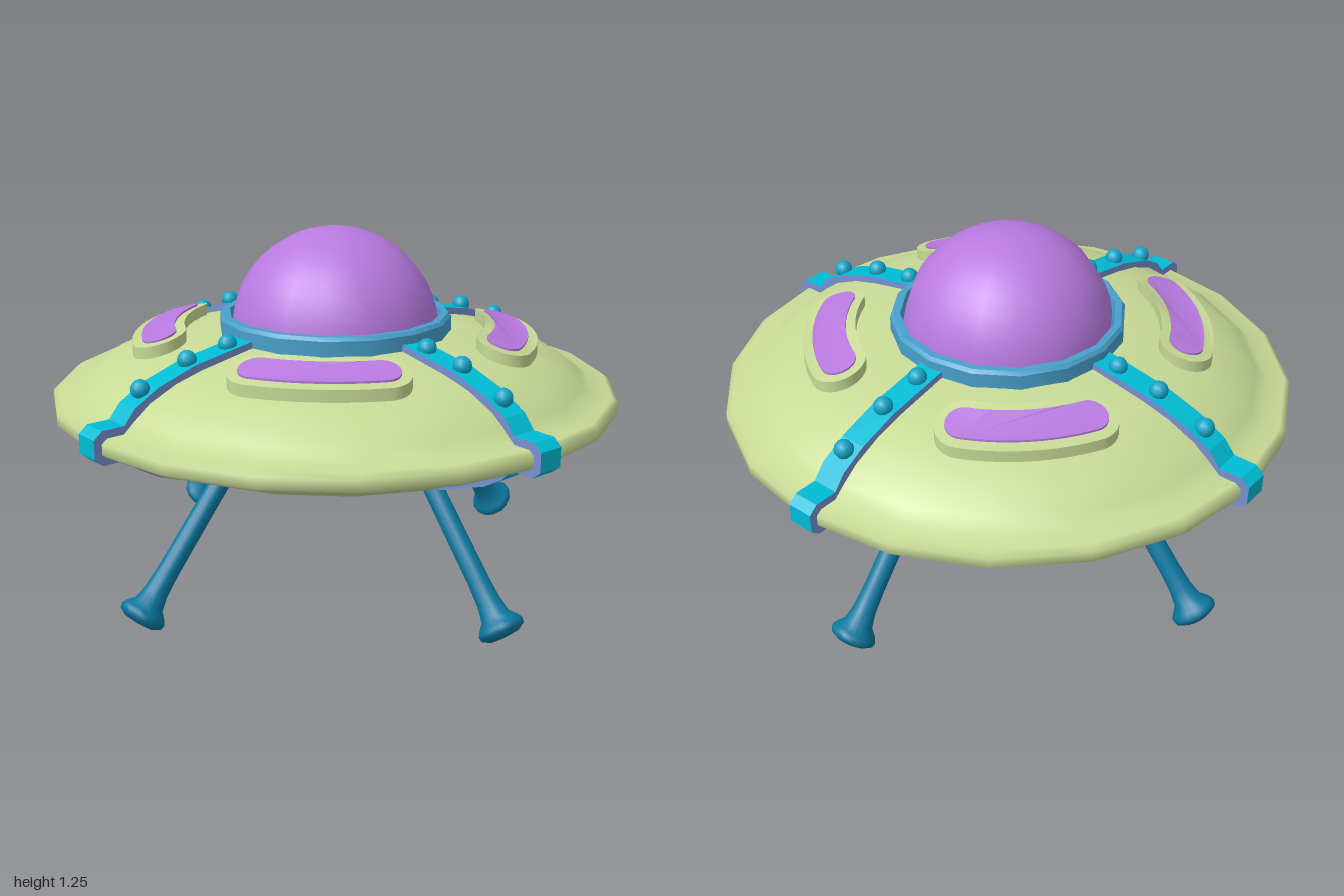
import * as THREE from 'three';
import { toCreasedNormals } from 'three/addons/utils/BufferGeometryUtils.js';

const paint = (name, color) => {
  const m = new THREE.MeshStandardMaterial({ color });
  m.name = name;
  return m;
};
const V = ([x, y]) => new THREE.Vector2(x, y);
const lathe = (pts, sides) => new THREE.LatheGeometry(pts.map(V), sides);

// Curved slot with round ends, lying flat and tilted to follow the hull
function slot(halfWidth, bottom, top) {
  const R = 0.61, a0 = Math.PI / 4 - 0.33, a1 = Math.PI / 4 + 0.33;
  const s = new THREE.Shape();
  s.absarc(0, 0, R + halfWidth, a0, a1, false);
  s.absarc(R * Math.cos(a1), R * Math.sin(a1), halfWidth, a1, a1 + Math.PI, false);
  s.absarc(0, 0, R - halfWidth, a1, a0, true);
  s.absarc(R * Math.cos(a0), R * Math.sin(a0), halfWidth, a0 + Math.PI, a0 + 2 * Math.PI, false);
  const geo = new THREE.ExtrudeGeometry(s, { depth: top - bottom, bevelEnabled: false, curveSegments: 10 });
  geo.rotateX(-Math.PI / 2);
  const p = geo.attributes.position;
  for (let i = 0; i < p.count; i++) {
    const r = Math.hypot(p.getX(i), p.getZ(i));
    p.setY(i, p.getY(i) + bottom - 0.28 * (r - R));
  }
  return toCreasedNormals(geo, 0.6);
}

export function createModel() {
  const green = paint('hull green', 0xc8da96);
  const purple = paint('glass purple', 0xb87ae0);
  const cyan = paint('band cyan', 0x00bcd6);
  const periwinkle = paint('band side blue', 0x7890d0);
  const blue = paint('collar blue', 0x48a0cc);
  const bolt = paint('bolt blue', 0x12a6c8);
  const teal = paint('leg teal', 0x0a78a0);

  const model = new THREE.Group();
  model.name = 'flyingSaucer';
  const add = (name, geo, mat, parent = model) => {
    const mesh = new THREE.Mesh(geo, mat);
    mesh.name = name;
    parent.add(mesh);
    return mesh;
  };

  // Saucer body with a thick rim
  add('hull', lathe([
    [0, 0.425], [0.2, 0.432], [0.4, 0.455], [0.6, 0.505], [0.77, 0.565], [0.86, 0.625],
    [0.9, 0.645], [0.96, 0.645], [0.98, 0.66], [0.98, 0.695], [0.96, 0.71], [0.9, 0.71],
    [0.86, 0.745], [0.8, 0.79], [0.7, 0.835], [0.6, 0.862], [0.4, 0.9], [0, 0.91],
  ], 20), green);

  // Dome and its collar
  const dome = add('dome', new THREE.SphereGeometry(0.36, 16, 12, 0, Math.PI * 2, 0, Math.PI / 2), purple);
  dome.position.y = 0.893;
  dome.rotation.y = Math.PI / 2;
  add('collar', toCreasedNormals(lathe([
    [0.385, 0.88], [0.402, 0.885], [0.402, 0.95], [0.392, 0.962], [0.368, 0.962], [0.355, 0.9],
  ], 16), 0.5), blue);

  // Two straps wrapped around the hull, crossing underneath
  const outer = [
    [0.38, 0.925], [0.62, 0.882], [0.76, 0.835], [0.85, 0.785], [0.89, 0.737], [0.97, 0.737],
    [1, 0.712], [1, 0.648], [0.97, 0.624], [0.89, 0.624], [0.84, 0.58], [0.77, 0.54],
    [0.6, 0.48], [0.4, 0.43], [0.2, 0.407],
  ];
  const inner = [
    [0.38, 0.88], [0.6, 0.845], [0.75, 0.8], [0.83, 0.75], [0.88, 0.7], [0.95, 0.7],
    [0.95, 0.655], [0.88, 0.655], [0.76, 0.575], [0.6, 0.515], [0.4, 0.465], [0.2, 0.44],
  ];
  const mirror = pts => [...pts].reverse().map(([x, y]) => [-x, y]);
  const strapShape = new THREE.Shape([
    ...outer, [0, 0.4], ...mirror(outer), ...inner.map(([x, y]) => [-x, y]),
    [0, 0.432], ...[...inner].reverse(),
  ].map(V));
  const strapGeo = new THREE.ExtrudeGeometry(strapShape, { depth: 0.09, bevelEnabled: false });
  strapGeo.translate(0, 0, -0.045);
  for (let i = 0; i < 2; i++) {
    add('strap', strapGeo, [periwinkle, cyan]).rotation.y = i * Math.PI / 2;
  }

  // Parts repeated on each quarter: bolts, leg, window
  const boltGeo = new THREE.SphereGeometry(0.032, 12, 8);
  const legGeo = lathe([
    [0, -0.004], [0.05, 0], [0.076, 0.014], [0.08, 0.03], [0.072, 0.045], [0.05, 0.07],
    [0.04, 0.12], [0.036, 0.2], [0.034, 0.6],
  ], 14);
  const frameGeo = slot(0.09, 0.865, 0.905);
  const paneGeo = slot(0.057, 0.905, 0.912);
  for (let i = 0; i < 4; i++) {
    const quarter = new THREE.Group();
    quarter.name = 'quarter';
    quarter.rotation.y = i * Math.PI / 2;
    model.add(quarter);
    for (const [x, y] of [[0.46, 0.918], [0.62, 0.892], [0.8, 0.828]]) {
      add('bolt', boltGeo, bolt, quarter).position.set(x, y, 0);
    }
    const leg = add('leg', legGeo, teal, quarter);
    leg.position.set(0.845, 0.038, 0);
    leg.rotation.z = 0.695;
    add('windowFrame', frameGeo, green, quarter);
    add('windowPane', paneGeo, purple, quarter);
  }
  return model;
}
